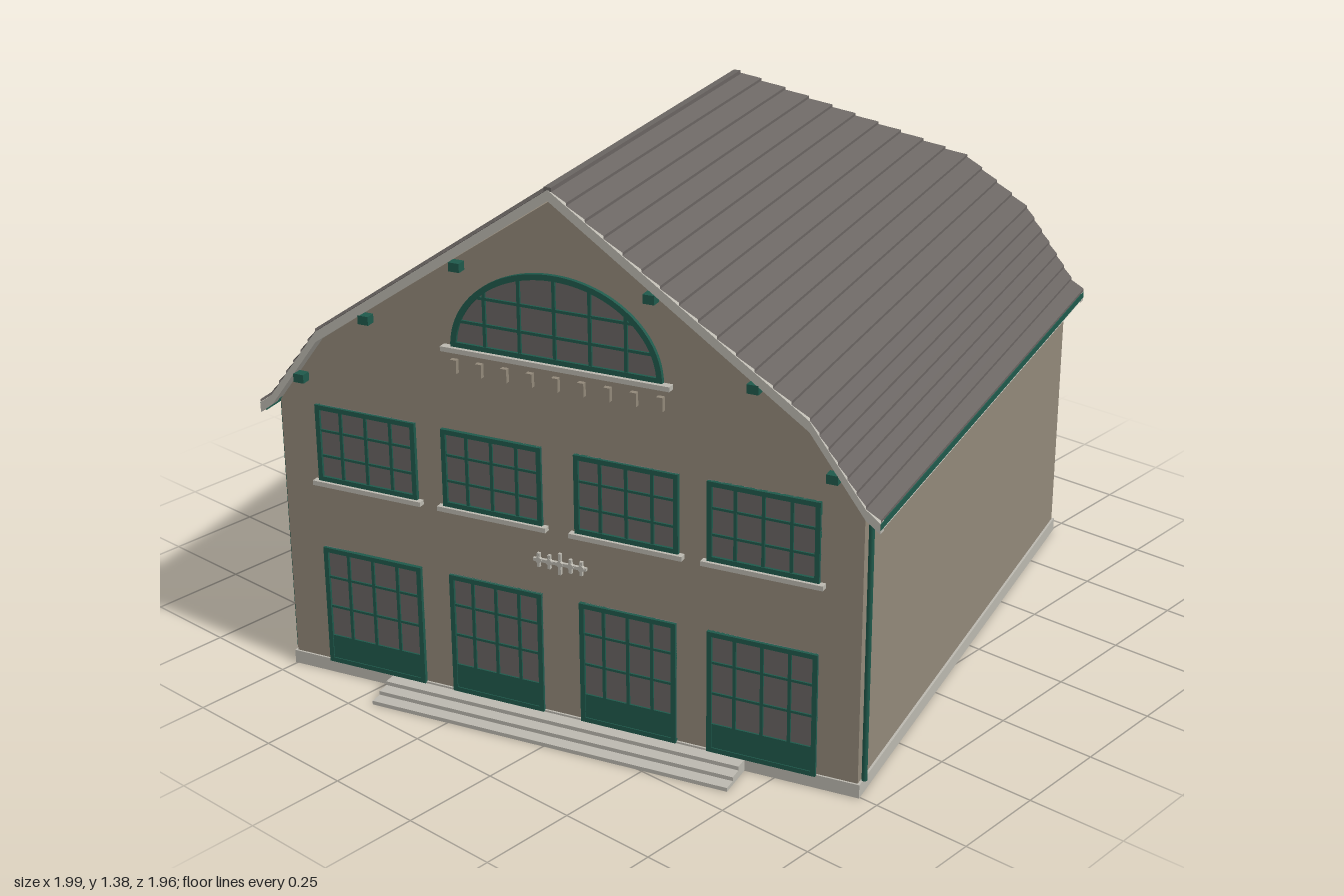
import * as THREE from 'three';

const mat = (name, color, side = THREE.FrontSide) => {
  const m = new THREE.MeshStandardMaterial({ color, side });
  m.name = name;
  return m;
};

export function createModel() {
  const wall = mat('tan plaster', 0x93897a);
  const tile = mat('grey roof tile', 0x6a6562, THREE.DoubleSide);
  const stone = mat('pale stone', 0xbcb9b0, THREE.DoubleSide);
  const green = mat('dark green paint', 0x1f5a4c);
  const glass = mat('grey glass', 0x696462, THREE.DoubleSide);

  const model = new THREE.Group();
  model.name = 'house';
  const house = new THREE.Group();
  house.name = 'turnedHouse';
  house.rotation.y = 0.298;
  model.add(house);

  const put = (parent, name, geo, m, x = 0, y = 0, z = 0) => {
    const mesh = new THREE.Mesh(geo, m);
    mesh.name = name;
    mesh.position.set(x, y, z);
    parent.add(mesh);
    return mesh;
  };
  const box = (parent, name, m, x, y, z, w, h, d) =>
    put(parent, name, new THREE.BoxGeometry(w, h, d), m, x, y, z);
  const outline = pts => new THREE.Shape(pts.map(p => new THREE.Vector2(...p)));
  const extrude = (shape, depth) =>
    new THREE.ExtrudeGeometry(shape, { depth, bevelEnabled: false, curveSegments: 24 });
  const mirrored = pts => [...pts.map(([x, y]) => [-x, y]), ...pts.slice().reverse()];

  // Wall planes: each facade group faces its own +z
  const facade = (name, z, turn) => {
    const g = new THREE.Group();
    g.name = name;
    g.position.z = z;
    g.rotation.y = turn;
    house.add(g);
    return g;
  };
  const front = facade('frontFacade', 0.757, 0);
  const back = facade('backFacade', -0.765, Math.PI);
  const porch = facade('porchBackWall', -0.64, Math.PI);

  // Main walls, with the back layer pierced by the porch arch
  const wallSide = [[0.756, 0], [0.756, 0.725], [0.625, 0.905], [0.45, 1.028]];
  put(house, 'mainWalls', extrude(outline(mirrored(wallSide)), 1.397), wall, 0, 0, -0.64);
  const gable = [...wallSide.slice(2), [0, 1.34]];
  put(house, 'frontGable', extrude(outline(mirrored(gable)), 0.05), wall, 0, 0, 0.707);

  const archHole = () => {
    const p = new THREE.Path();
    p.moveTo(-0.26, 0.003);
    p.lineTo(0.26, 0.003);
    p.lineTo(0.26, 0.17);
    p.absarc(0, 0.17, 0.26, 0, Math.PI, false);
    p.lineTo(-0.26, 0.003);
    return p;
  };
  const backShape = outline(mirrored(wallSide));
  backShape.holes.push(archHole());
  put(house, 'backWall', extrude(backShape, 0.117), wall, 0, 0, -0.757);
  const bayShape = outline([[-0.43, 0], [0.43, 0], [0.43, 1.035], [-0.43, 1.035]]);
  bayShape.holes.push(archHole());
  put(house, 'backBay', extrude(bayShape, 0.008), wall, 0, 0, -0.765);

  // Plinth: side and front bands, a floor slab, and short bands beside the bay
  box(house, 'floorSlab', stone, 0, 0.002, 0, 1.514, 0.004, 1.516);
  box(house, 'frontPlinth', stone, 0, 0.0175, 0.757, 1.524, 0.035, 0.01);
  for (const s of [-1, 1]) {
    box(house, 'sidePlinth', stone, s * 0.757, 0.0175, 0, 0.01, 0.035, 1.524);
    box(house, 'backPlinth', stone, s * 0.595, 0.0175, -0.757, 0.33, 0.035, 0.01);
    put(house, 'downpipe', new THREE.CylinderGeometry(0.007, 0.007, 0.68, 8), green, s * 0.764, 0.375, 0.735);
  }

  // Roof: lapped tile courses, each a quad with a small riser under its lower edge
  const zBack = x => (x < 0.455 ? -0.26 - (0.52 * x) / 0.455 : -0.78);
  const profile = [[0, 1.37], [0.455, 1.052], [0.63, 0.93], [0.765, 0.745], [0.8, 0.718]];
  const counts = [10, 4, 6, 1];
  const quads = (list, name, m) => {
    const pos = [];
    for (const [a, b, c, d] of list) pos.push(...a, ...b, ...c, ...a, ...c, ...d);
    const g = new THREE.BufferGeometry();
    g.setAttribute('position', new THREE.Float32BufferAttribute(pos, 3));
    g.computeVertexNormals();
    return put(house, name, g, m);
  };
  const lift = 0.007;
  const slope = (s, drop, lapped) => {
    const list = [];
    counts.forEach((count, k) => {
      const [p, q] = [profile[k], profile[k + 1]];
      const n = lapped ? count : 1;
      const up = lapped ? lift : 0;
      for (let i = 0; i < n; i++) {
        const at = t => [p[0] + (q[0] - p[0]) * t, p[1] + (q[1] - p[1]) * t - drop];
        const [x0, y0] = at(i / n), [x1, y1] = at((i + 1) / n);
        const [b0, b1] = [zBack(x0), zBack(x1)];
        const quad = [[s * x0, y0, b0], [s * x0, y0, 0.78], [s * x1, y1 + up, 0.78], [s * x1, y1 + up, b1]];
        const riser = [[s * x1, y1 + up, b1], [s * x1, y1 + up, 0.78], [s * x1, y1, 0.78], [s * x1, y1, b1]];
        for (const f of lapped ? [quad, riser] : [quad]) list.push(s > 0 ? f : f.reverse());
      }
    });
    return list;
  };
  const hip = (n, drop, up) => {
    const list = [];
    for (let i = 0; i < n; i++) {
      const at = t => [0.455 * t, 1.37 - 0.318 * t - drop, -0.26 - 0.52 * t];
      const [x0, y0, z0] = at(i / n), [x1, y1, z1] = at((i + 1) / n);
      list.push([[-x0, y0, z0], [x0, y0, z0], [x1, y1 + up, z1], [-x1, y1 + up, z1]]);
      if (up) list.push([[-x1, y1 + up, z1], [x1, y1 + up, z1], [x1, y1, z1], [-x1, y1, z1]]);
    }
    return list;
  };
  for (const s of [-1, 1]) {
    quads(slope(s, 0, true), 'roofSlope', tile);
    quads(slope(s, 0.022, false), 'roofSoffit', stone);
    box(house, 'eaveGutter', green, s * 0.792, 0.708, 0, 0.018, 0.016, 1.56);
  }
  quads(hip(10, 0, lift), 'backHip', tile);
  quads(hip(1, 0.022, 0), 'hipSoffit', stone);
  box(house, 'ridgeCap', tile, 0, 1.37, 0.26, 0.018, 0.01, 1.04);
  box(house, 'hipGutter', green, 0, 1.042, -0.776, 0.92, 0.014, 0.012);

  // Verge boards under the roof edges
  const board = pts => {
    const top = mirrored(pts.slice().reverse());
    return extrude(outline([...top, ...top.slice().reverse().map(([x, y]) => [x, y - 0.026])]), 0.022);
  };
  put(house, 'frontVergeBoard', board(profile.slice(1).concat([]).reverse().concat([[0.0001, 1.37]]).reverse()), stone, 0, -0.001, 0.759);
  put(house, 'backVergeBoard', board(profile.slice(1)), stone, 0, -0.001, -0.781);

  // Purlin ends under the front verge
  for (const s of [-1, 1])
    for (const [x, y] of [[0.245, 1.15], [0.495, 0.98], [0.685, 0.8]])
      box(front, 'purlinEnd', green, s * x, y, 0.012, 0.028, 0.022, 0.026);

  // Windows and doors: glass, frame, glazing bars, optional panel, sill and lintel
  const opening = (parent, name, cx, y0, w, h, cols, rows, o = {}) => {
    const g = new THREE.Group();
    g.name = name;
    g.position.set(cx, y0, 0);
    parent.add(g);
    const f = o.frame ?? 0.012, panel = o.panel ?? 0;
    box(g, 'glass', glass, 0, h / 2, 0.001, w, h, 0.004);
    for (const s of [-1, 1]) {
      box(g, 'frameSide', green, s * (w - f) / 2, h / 2, 0.004, f, h, 0.012);
      box(g, 'frameRail', green, 0, h / 2 + s * (h - f) / 2, 0.004, w, f, 0.012);
    }
    if (panel) box(g, 'lowerPanel', green, 0, panel / 2, 0.003, w, panel, 0.009);
    for (let i = 1; i < cols; i++)
      box(g, 'bar', green, -w / 2 + (w * i) / cols, h / 2, 0.003, 0.008, h, 0.009);
    for (let j = 1; j < rows; j++)
      box(g, 'crossBar', green, 0, panel + ((h - panel) * j) / rows, 0.003, w, 0.006, 0.008);
    if (o.sill) box(g, 'sill', stone, 0, -0.006, 0.007, w + 0.025, 0.012, 0.022);
    if (o.lintel) box(g, 'lintel', stone, 0, h + 0.006, 0.004, w + 0.02, 0.012, 0.012);
    return g;
  };

  // Front: two rows of four
  for (const s of [-1, 1]) {
    opening(front, 'upperWindow', s * 0.175, 0.532, 0.265, 0.2, 4, 3, { sill: true });
    opening(front, 'upperWindow', s * 0.517, 0.532, 0.275, 0.2, 4, 3, { sill: true });
    opening(front, 'gardenDoor', s * 0.175, 0.032, 0.25, 0.318, 4, 3, { panel: 0.075 });
    opening(front, 'gardenDoor', s * 0.517, 0.032, 0.275, 0.318, 4, 3, { panel: 0.075 });
  }

  // Front: arched gable window
  const rx = 0.27, ry = 0.215;
  const arched = new THREE.Group();
  arched.name = 'archedWindow';
  arched.position.y = 0.948;
  front.add(arched);
  const halfOval = (a, b) => new THREE.Shape().absellipse(0, 0, a, b, 0, Math.PI, false);
  put(arched, 'archGlass', new THREE.ShapeGeometry(halfOval(rx, ry), 24), glass, 0, 0, 0.003);
  const rim = halfOval(rx, ry);
  rim.absellipse(0, 0, rx - 0.014, ry - 0.014, Math.PI, 0, true);
  put(arched, 'archFrame', extrude(rim, 0.01), green);
  box(arched, 'archRail', green, 0, 0.006, 0.004, 2 * rx, 0.012, 0.012);
  for (let i = -2; i <= 2; i++) {
    const h = ry * Math.sqrt(1 - ((i * 0.09) / rx) ** 2) - 0.004;
    box(arched, 'archBar', green, i * 0.09, h / 2, 0.004, 0.008, h, 0.009);
  }
  for (const y of [0.065, 0.13])
    box(arched, 'archCrossBar', green, 0, y, 0.004, 2 * rx * Math.sqrt(1 - (y / ry) ** 2) - 0.01, 0.007, 0.008);
  box(arched, 'archSill', stone, 0, -0.006, 0.008, 0.585, 0.012, 0.024);
  for (let i = -4; i <= 4; i++)
    box(front, 'dentil', wall, i * 0.066, 0.898, 0.005, 0.016, 0.034, 0.014);

  // Front: wrought wall ornament
  box(front, 'ornamentBar', stone, 0, 0.44, 0.004, 0.14, 0.008, 0.008);
  for (let i = -2; i <= 2; i++) {
    box(front, 'ornamentUpright', stone, i * 0.028, 0.44, 0.004, 0.007, i ? 0.036 : 0.055, 0.008);
    box(front, 'ornamentKnot', stone, i * 0.028, 0.44, 0.005, 0.015, 0.015, 0.008).rotation.z = Math.PI / 4;
  }

  // Steps
  for (let i = 0; i < 3; i++) {
    const df = 0.105 - 0.033 * i, db = 0.105 - 0.033 * i;
    box(front, 'frontStep', stone, 0, 0.005 * (i + 1), df / 2, 0.95, 0.01 * (i + 1), df);
    box(back, 'backStep', stone, 0, 0.008 * (i + 1), db / 2, 0.24, 0.016 * (i + 1), db);
  }

  // Back: porch with arch surround, low walls, door and small windows
  box(house, 'porchFloor', stone, 0, 0.025, -0.7, 0.52, 0.045, 0.125);
  const ring = new THREE.Shape().absarc(0, 0.17, 0.285, 0, Math.PI, false);
  ring.absarc(0, 0.17, 0.257, Math.PI, 0, true);
  put(back, 'archSurround', extrude(ring, 0.018), stone, 0, 0, -0.004);
  box(back, 'keystone', stone, 0, 0.448, 0.008, 0.032, 0.06, 0.03);
  for (const s of [-1, 1]) {
    box(back, 'porchWall', wall, s * 0.19, 0.07, -0.012, 0.14, 0.14, 0.034);
    box(back, 'porchWallCap', stone, s * 0.2, 0.146, -0.01, 0.175, 0.014, 0.046);
    opening(porch, 'porchWindow', s * 0.165, 0.13, 0.12, 0.13, 3, 2, { sill: true });
    opening(back, 'sideWindow', s * 0.335, 0.12, 0.105, 0.165, 2, 3, { sill: true, lintel: true });
    opening(back, 'atticWindow', s * 0.275, 0.93, 0.1, 0.09, 2, 2, { sill: true });
  }
  opening(porch, 'porchDoor', 0, 0.047, 0.155, 0.28, 3, 3, { panel: 0.09 });
  opening(back, 'stairWindow', 0, 0.585, 0.2, 0.23, 1, 2, { sill: true, lintel: true });
  opening(back, 'atticCentreWindow', 0, 0.92, 0.245, 0.1, 1, 1, { sill: true });
  box(back, 'stringCourse', wall, 0, 0.48, 0.004, 0.86, 0.012, 0.012);

  return model;
}
